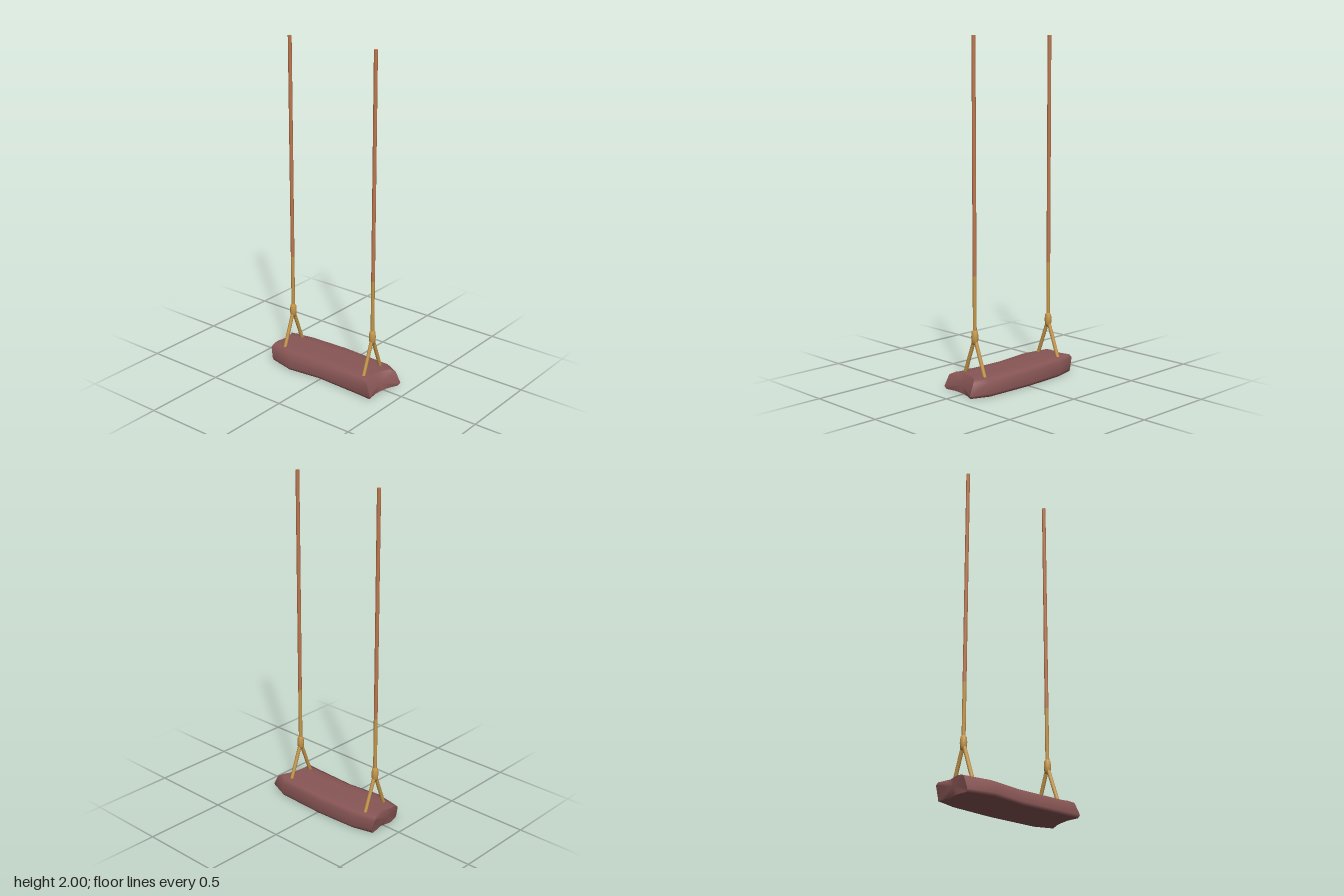
import * as THREE from 'three';

const mat = (name, color) => {
  const m = new THREE.MeshStandardMaterial({ color });
  m.name = name;
  return m;
};

// Piecewise-linear lookup through [input, output] pairs
function lookup(pairs, v) {
  if (v <= pairs[0][0]) return pairs[0][1];
  for (let i = 1; i < pairs.length; i++) {
    const [a, p] = pairs[i - 1], [b, q] = pairs[i];
    if (v <= b) return p + (q - p) * (v - a) / (b - a);
  }
  return pairs[pairs.length - 1][1];
}

// Notched outlines of the two seat ends: [z, x]
const rightEnd = [[-0.105, 0.42], [-0.03, 0.385], [0.06, 0.37], [0.148, 0.385]];
const leftEnd = [[-0.115, -0.405], [-0.1, -0.42], [-0.03, -0.393], [0.06, -0.412], [0.12, -0.395]];
// Lean of each end with height: [y, x shift]
const rightLean = [[0, -0.008], [0.015, 0], [0.085, -0.03], [0.1, -0.05]];
const leftLean = [[0, 0.018], [0.085, 0], [0.1, 0.012]];

// Cross-section from the back edge over the top to the front and under: [z from -1 to 1, y]
const section = [
  [-0.93, 0], [-1, 0.018], [-0.95, 0.083], [-0.82, 0.097], [-0.5, 0.1], [-0.2, 0.1], [0.1, 0.1], [0.4, 0.1],
  [0.7, 0.098], [0.92, 0.083], [1, 0.018], [0.93, 0], [0.4, 0], [0.1, 0], [-0.2, 0], [-0.5, 0],
];
// Stations along the seat: z of back and front edges, x given per point
const stations = [
  { back: -0.115, front: 0.12, x: (z, y) => lookup(leftEnd, z) + lookup(leftLean, y) },
  { back: -0.15, front: 0.158, x: (z) => -0.245 + z * 0.16 },
  { back: -0.162, front: 0.133, x: () => -0.01 },
  { back: -0.15, front: 0.144, x: () => 0.3 },
  { back: -0.105, front: 0.148, x: (z, y) => lookup(rightEnd, z) + lookup(rightLean, y) },
];

function ringPoints({ back, front, x }) {
  return section.map(([t, y]) => {
    const z = (back + front) / 2 + t * (front - back) / 2;
    return [x(z, y), y, z];
  });
}

function buildGeometry(points, index) {
  const g = new THREE.BufferGeometry();
  g.setAttribute('position', new THREE.Float32BufferAttribute(points.flat(), 3));
  g.setIndex(index);
  g.computeVertexNormals();
  return g;
}

function seatBody() {
  const n = section.length, index = [];
  for (let s = 0; s < stations.length - 1; s++) {
    for (let i = 0; i < n; i++) {
      const a = s * n + i, b = s * n + (i + 1) % n;
      index.push(a, b, a + n, b, b + n, a + n);
    }
  }
  return buildGeometry(stations.flatMap(ringPoints), index);
}

function seatEnd(station, right) {
  const ring = ringPoints(station), n = ring.length, index = [];
  for (let i = 0; i < n; i++) {
    const j = (i + 1) % n;
    index.push(n, right ? i : j, right ? j : i);
  }
  return buildGeometry([...ring, [station.x(0.02, 0.05), 0.05, 0.02]], index);
}

export function createModel() {
  const model = new THREE.Group();
  model.name = 'swing';
  const seatMat = mat('seat red brown', 0x885655);
  const ropeMat = mat('rope copper', 0xc07a50);
  const bindMat = mat('binding gold', 0xc8994c);

  const add = (parent, name, geometry, material) => {
    const mesh = new THREE.Mesh(geometry, material);
    mesh.name = name;
    parent.add(mesh);
    return mesh;
  };
  // Cylinder between two points
  const rod = (parent, name, from, to, radius, material) => {
    const dir = to.clone().sub(from);
    const mesh = add(parent, name, new THREE.CylinderGeometry(radius, radius, dir.length(), 8), material);
    mesh.position.copy(from).add(to).multiplyScalar(0.5);
    mesh.quaternion.setFromUnitVectors(new THREE.Vector3(0, 1, 0), dir.normalize());
  };

  // Seat board
  const seat = new THREE.Group();
  seat.name = 'seat';
  model.add(seat);
  add(seat, 'seatBoard', seatBody(), seatMat);
  add(seat, 'seatLeftEnd', seatEnd(stations[4], true), seatMat);
  add(seat, 'seatRightEnd', seatEnd(stations[0], false), seatMat);

  // Ropes with knots and forked legs
  const knotProfile = [[0, 0.27], [0.013, 0.27], [0.019, 0.29], [0.021, 0.315], [0.018, 0.345], [0.011, 0.353], [0, 0.353]]
    .map(([r, y]) => new THREE.Vector2(r, y));
  const v = (x, y, z) => new THREE.Vector3(x, y, z);
  for (const [name, x] of [['rightRope', -0.315], ['leftRope', 0.285]]) {
    const rope = new THREE.Group();
    rope.name = name;
    rope.position.set(x, 0, -0.003);
    model.add(rope);
    rod(rope, 'upperRope', v(0, 0.665, 0), v(0, 2, 0), 0.011, ropeMat);
    rod(rope, 'lowerRope', v(0, 0.32, 0), v(0, 0.665, 0), 0.011, bindMat);
    add(rope, 'knot', new THREE.LatheGeometry(knotProfile, 10), bindMat);
    for (const side of [-1, 1]) {
      rod(rope, side > 0 ? 'frontLeg' : 'backLeg', v(0, 0.31, 0), v(0, 0.085, side * 0.084), 0.011, bindMat);
    }
  }
  return model;
}
